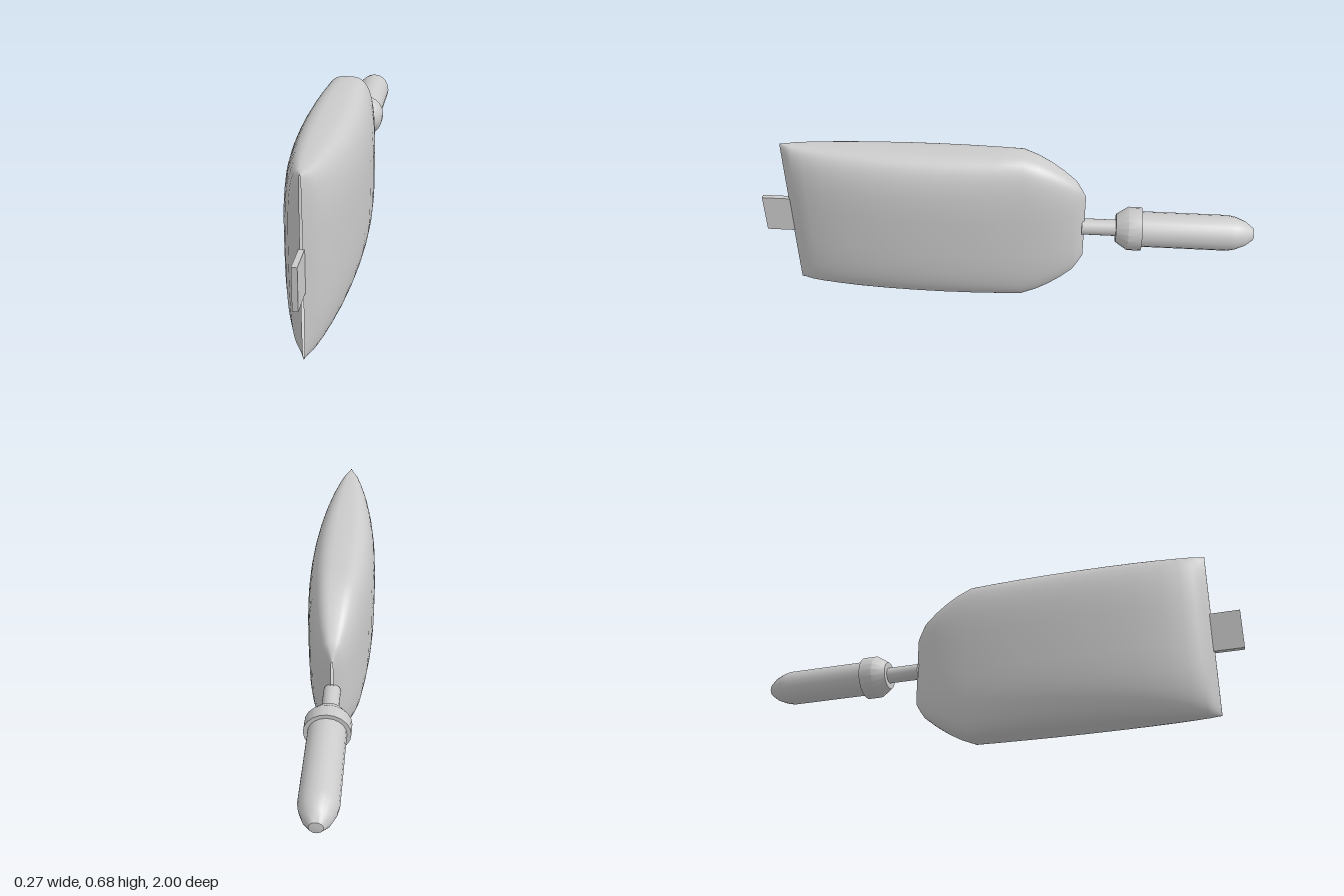
import * as THREE from 'three';
import { toCreasedNormals } from 'three/addons/utils/BufferGeometryUtils.js';

const MID = 0.342; // height of the long axis

// Pillow-shaped bag: rounded cross-sections lofted along z, open slits at both ends
function bagGeometry() {
  const stations = [ // z, half height
    [0.89, 0.34], [0.865, 0.34], [0.84, 0.34], [0.79, 0.34], [0.72, 0.34], [0.62, 0.34],
    [0.5, 0.34], [0.38, 0.34], [0.26, 0.34], [0.14, 0.34], [0.03, 0.34], [-0.07, 0.34],
    [-0.13, 0.316], [-0.18, 0.288], [-0.23, 0.254], [-0.28, 0.213], [-0.3, 0.184], [-0.32, 0.148],
  ];
  const sides = 64, power = 2 / 3.2;
  const round = (v) => Math.sign(v) * Math.abs(v) ** power;
  const pos = [], index = [];
  stations.forEach(([z, h], i) => {
    const u = (z - 0.285) / 0.605;
    let w = Math.max(0.004, 0.137 * Math.sqrt(Math.max(0, 1 - u * u)));
    if (z === 0.865) w = 0.03;
    if (z === -0.3) w = 0.028;
    for (let j = 0; j < sides; j++) {
      const a = (j / sides) * Math.PI * 2;
      pos.push(w * round(Math.cos(a)), MID + h * round(Math.sin(a)), z);
      if (i === 0) continue;
      const k = (j + 1) % sides, p = (i - 1) * sides, q = i * sides;
      index.push(p + j, q + j, p + k, p + k, q + j, q + k);
    }
  });
  const g = new THREE.BufferGeometry();
  g.setAttribute('position', new THREE.Float32BufferAttribute(pos, 3));
  g.setIndex(index);
  g.computeVertexNormals();
  return g;
}

// Turned part running backwards along -z; profile of [radius, distance behind z = 0]
function turned(profile) {
  const g = new THREE.LatheGeometry(profile.map(([r, d]) => new THREE.Vector2(r, d)), 20);
  g.rotateX(-Math.PI / 2).translate(0, MID, 0);
  return toCreasedNormals(g, 0.6);
}

export function createModel() {
  const group = new THREE.Group();
  const solid = new THREE.MeshStandardMaterial({ color: 0xcccccc });
  const thin = new THREE.MeshStandardMaterial({ color: 0xcccccc, side: THREE.DoubleSide });
  const add = (name, geometry, material = solid) => {
    const mesh = new THREE.Mesh(geometry, material);
    mesh.name = name;
    group.add(mesh);
  };

  add('bag', bagGeometry(), thin);

  // Flat hanging tab at the front seam
  add('tab', new THREE.BoxGeometry(0.02, 0.16, 0.115).translate(0, MID, 0.9425));

  // Outlet neck, bevelled collar and rounded spout
  add('neck', turned([[0, 0.31], [0.033, 0.31], [0.033, 0.46], [0, 0.46]]));
  add('collar', turned([[0, 0.447], [0.057, 0.447], [0.088, 0.495], [0.088, 0.55], [0, 0.55]]));
  add('spout', turned([[0, 0.54], [0.072, 0.54], [0.072, 0.895], [0.066, 0.925],
    [0.05, 0.965], [0.025, 0.997], [0, 1]]));

  return group;
}
